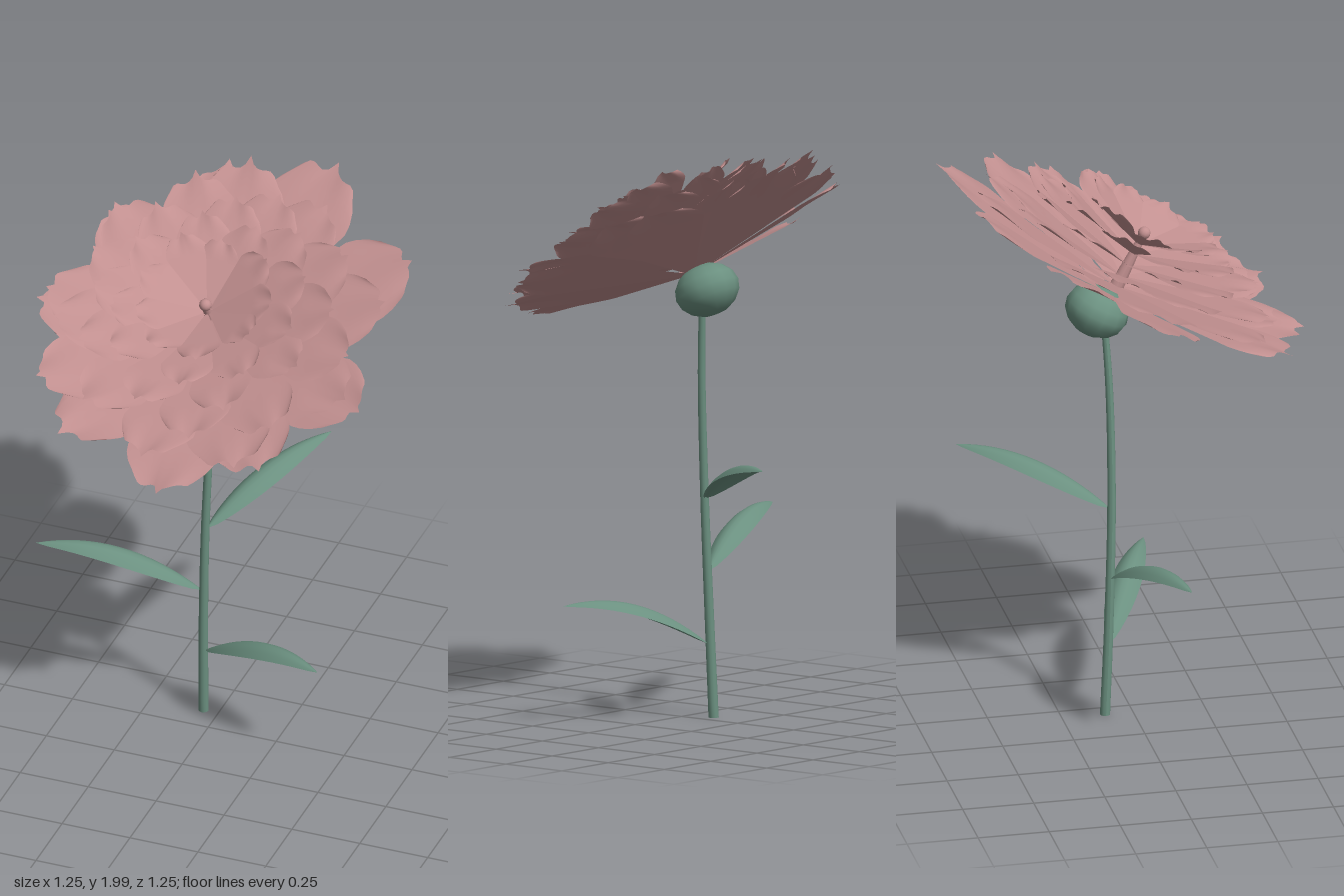
import * as THREE from 'three';

// Grid surface from a rule: fn(u, v) -> Vector3, u across (-1..1), v along (0..1)
function sheet(nu, nv, fn) {
  const pos = [], idx = [];
  for (let j = 0; j <= nv; j++)
    for (let i = 0; i <= nu; i++) pos.push(...fn((i / nu) * 2 - 1, j / nv).toArray());
  for (let j = 0; j < nv; j++)
    for (let i = 0; i < nu; i++) {
      const a = j * (nu + 1) + i, b = a + 1, c = a + nu + 1, d = c + 1;
      idx.push(a, b, c, b, d, c);
    }
  const g = new THREE.BufferGeometry();
  g.setAttribute('position', new THREE.Float32BufferAttribute(pos, 3));
  g.setIndex(idx);
  g.computeVertexNormals();
  return g;
}

// Straight wedge petal with a blunt, pointed end: base height h0, tip at reach R and height H
function petalGeometry(angle, R, h0, H, seed) {
  const half = 0.025 + 0.2 * R, r0 = 0.015;
  const ca = Math.cos(angle), sa = Math.sin(angle);
  return sheet(14, 16, (u, v) => {
    const k = Math.abs(u);
    const end = 0.95 - 0.07 * k ** 4 + 0.05 * Math.max(0, 1 - k * 6)
      + 0.012 * Math.sin(u * 8 + seed);
    const t = v * end;
    const width = half * (0.06 + 0.94 * Math.min(1, v / 0.8))
      * (1 - 0.3 * Math.max(0, (v - 0.8) / 0.2) ** 2);
    const r = r0 + (R - r0) * t, side = u * width;
    const crinkle = 0.006 * Math.max(0, (v - 0.75) / 0.25) * Math.sin(u * 5 + seed * 2);
    const h = h0 + (H - h0) * t + 0.008 * u * v + crinkle;
    return new THREE.Vector3(ca * r + sa * side, h, sa * r - ca * side);
  });
}

// Arched, folded leaf from base to tip
function leafGeometry(base, tip, midHeight, half) {
  const a = new THREE.Vector3(...base), b = new THREE.Vector3(...tip);
  const mid = a.clone().lerp(b, 0.5).setY(midHeight);
  const curve = new THREE.QuadraticBezierCurve3(a, mid, b);
  const side = new THREE.Vector3(b.z - a.z, 0, a.x - b.x).normalize();
  return sheet(6, 16, (u, v) => {
    const w = half * Math.sin(Math.PI * v ** 0.9) ** 0.8 || 0;
    const p = curve.getPoint(v).addScaledVector(side, u * w);
    p.y -= 0.65 * w * u * u;
    return p;
  });
}

export function createModel() {
  const model = new THREE.Group();
  const pink = new THREE.MeshStandardMaterial({ color: 0xc29090, side: THREE.DoubleSide });
  pink.name = 'dusty pink';
  const green = new THREE.MeshStandardMaterial({ color: 0x6b9080, side: THREE.DoubleSide });
  green.name = 'sage green';
  const add = (parent, name, geometry, material) => {
    const mesh = new THREE.Mesh(geometry, material);
    mesh.name = name;
    parent.add(mesh);
    return mesh;
  };

  // Stem: a gently bent tube that narrows upwards
  const stemPath = new THREE.CatmullRomCurve3([
    [-0.055, 0, -0.098], [-0.05, 0.35, -0.083], [-0.037, 0.8, -0.071],
    [-0.018, 1.2, -0.075], [-0.004, 1.46, -0.09],
  ].map(p => new THREE.Vector3(...p)));
  add(model, 'stem', sheet(12, 24, (u, v) => {
    const p = stemPath.getPoint(v), r = 0.018 - 0.006 * v;
    return p.add(new THREE.Vector3(Math.cos(u * Math.PI) * r, 0, -Math.sin(u * Math.PI) * r));
  }), green);
  const foot = add(model, 'stemFoot', new THREE.CircleGeometry(0.018, 12), green);
  foot.rotation.x = Math.PI / 2;
  foot.position.set(-0.055, 0.001, -0.098);

  // Leaves
  [
    [[-0.035, 0.76, -0.075], [0.24, 0.93, -0.56], 0.965],
    [[-0.05, 0.505, -0.075], [-0.6, 0.67, 0.09], 0.73],
    [[-0.045, 0.255, -0.085], [0.46, 0.42, 0.15], 0.48],
  ].forEach(([base, tip, mid]) => add(model, 'leaf', leafGeometry(base, tip, mid, 0.055), green));

  // Flower head, tilted towards the front
  const head = new THREE.Group();
  head.name = 'flowerHead';
  head.position.set(0.01, 1.5, -0.08);
  head.rotation.x = THREE.MathUtils.degToRad(27);
  model.add(head);

  const cup = add(head, 'flowerCup', new THREE.SphereGeometry(0.114, 14, 8), green);
  cup.scale.y = 0.8;
  cup.position.set(-0.01, -0.022, -0.028);

  // Outermost petals: [angle in degrees, reach]
  [
    [87, 0.7], [124, 0.66], [176, 0.63], [215, 0.61], [257, 0.65],
    [288, 0.74], [327, 0.73], [20, 0.67], [56, 0.64],
  ].forEach(([deg, reach], i) => add(head, 'outerPetal',
    petalGeometry(THREE.MathUtils.degToRad(deg), reach, 0.05, 0.18 + 0.01 * (i % 2), i * 1.7), pink));

  // Inner rings, stacked up the pistil: [reach, base height, tip height]
  [
    [0.61, 0.085, 0.215], [0.53, 0.125, 0.255], [0.44, 0.17, 0.295],
    [0.35, 0.215, 0.33], [0.25, 0.255, 0.36],
  ].forEach(([reach, low, high], ring) => {
    for (let i = 0; i < 9; i++) {
      const vary = Math.sin(i * 2.4 + ring * 1.9);
      const angle = (i + 0.5 * (ring + 1)) * Math.PI * 2 / 9 + 0.08 * vary + ring * 0.05;
      add(head, 'innerPetal', petalGeometry(angle, reach * (1 + 0.05 * vary), low,
        high + 0.008 * (i % 2) + 0.01 * vary, i * 1.3 + ring), pink);
    }
  });

  // Pistil in the middle
  const column = add(head, 'pistil', new THREE.CylinderGeometry(0.012, 0.03, 0.27, 10), pink);
  column.position.y = 0.155;
  const knob = add(head, 'pistilTip', new THREE.SphereGeometry(0.022, 12, 8), pink);
  knob.position.y = 0.295;

  return model;
}
